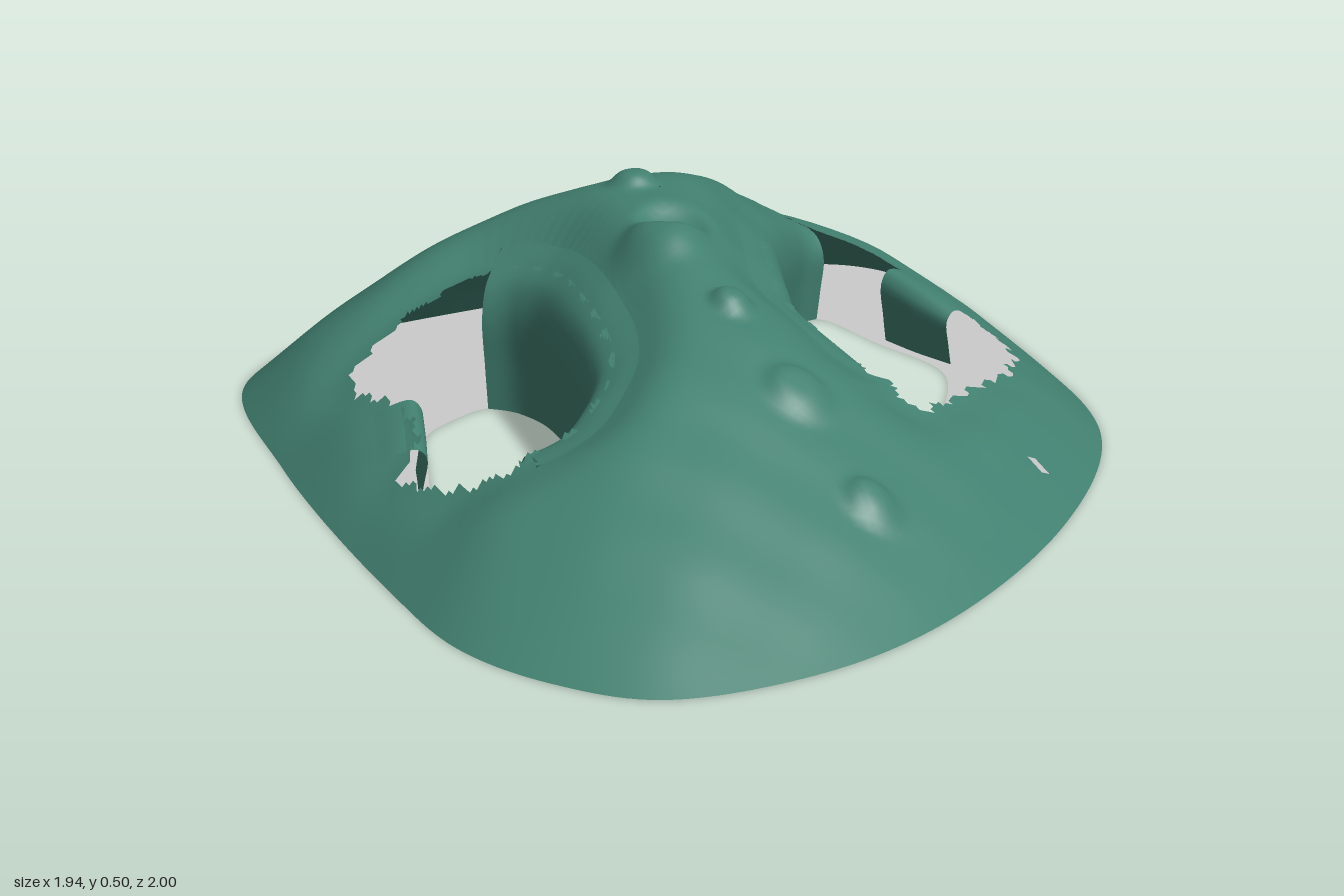
import * as THREE from 'three';

const V = (x, z) => new THREE.Vector2(x, z);
const cross = (a, b) => a.x * b.y - a.y * b.x;
const smoothLoop = (list, n) => {
  const curve = new THREE.CatmullRomCurve3(list.map((p) => new THREE.Vector3(p.x, 0, p.y)), true);
  return curve.getSpacedPoints(n).slice(0, n).map((p) => V(p.x, p.z));
};

// Ground outline, in (x, z), and the summit the slopes run down from
const SUMMIT = V(-0.22, -0.1);
const STEPS = 280, RINGS = 90;
const outline = smoothLoop([
  V(-0.31, -1), V(-0.5, -0.96), V(-0.68, -0.73), V(-0.79, -0.42), V(-0.93, 0.05), V(-0.97, 0.26),
  V(-0.87, 0.53), V(-0.45, 0.74), V(0.16, 0.94), V(0.43, 0.995), V(0.64, 0.96), V(0.82, 0.86),
  V(0.94, 0.6), V(0.96, 0.29), V(0.83, -0.21), V(0.58, -0.62), V(0.24, -0.82),
], STEPS);

// Evenly spaced points on a curve with the direction away from the opening
function edgeWithNormals(list, centre, n) {
  const curve = new THREE.SplineCurve(list);
  return Array.from({ length: n + 1 }, (_, i) => {
    const p = curve.getPointAt(i / n), t = curve.getTangentAt(i / n);
    const out = V(t.y, -t.x);
    if (out.dot(p.clone().sub(centre)) < 0) out.negate();
    return { p, out };
  });
}

// An opening: overhanging lip, torn edge of the shell, far side of the floor hole, leftover wall scrap
function opening(name, centre, lip, torn, floorSide, scrap) {
  const around = (d, rest, n) => {
    const edge = edgeWithNormals(lip, centre, 9).map(({ p, out }) => p.addScaledVector(out, d));
    return smoothLoop([...edge, ...rest], n);
  };
  return { name, centre, lip, scrap, cut: around(0.05, torn, 100), floorHole: around(0.02, floorSide, 80) };
}
const frontOpening = opening('front', V(-0.13, 0.44),
  [V(-0.4, 0.245), V(-0.33, 0.215), V(-0.2, 0.235), V(0.08, 0.37), V(0.175, 0.52), V(0.15, 0.61)],
  [V(0.14, 0.71), V(0.05, 0.735), V(-0.08, 0.73), V(-0.12, 0.65), V(-0.27, 0.58), V(-0.48, 0.54), V(-0.51, 0.4), V(-0.48, 0.29)],
  [V(0.05, 0.655), V(-0.02, 0.67), V(-0.1, 0.63), V(-0.25, 0.52), V(-0.38, 0.42), V(-0.41, 0.32)],
  [V(-0.1, 0.64), V(-0.18, 0.58), V(-0.25, 0.53)]);
const backOpening = opening('back', V(0.1, -0.4),
  [V(-0.28, -0.66), V(-0.27, -0.58), V(-0.1, -0.35), V(0.1, -0.185), V(0.2, -0.13), V(0.38, -0.125)],
  [V(0.46, -0.11), V(0.52, -0.1), V(0.48, -0.33), V(0.38, -0.57), V(0.18, -0.71), V(-0.05, -0.71), V(-0.1, -0.77), V(-0.27, -0.73)],
  [V(0.4, -0.25), V(0.3, -0.42), V(0.12, -0.63), V(-0.1, -0.65)],
  [V(0.1, -0.66), V(0, -0.655), V(-0.1, -0.66)]);
const OPENINGS = [frontOpening, backOpening];

function inside(poly, x, z) {
  let hit = false;
  for (let i = 0, j = poly.length - 1; i < poly.length; j = i++) {
    const a = poly[i], b = poly[j];
    if ((a.y > z) !== (b.y > z) && x < ((b.x - a.x) * (z - a.y)) / (b.y - a.y) + a.x) hit = !hit;
  }
  return hit;
}

// Share of the way from summit to outline
function slopeShare(x, z) {
  const d = V(x, z).sub(SUMMIT);
  for (let i = 0; i < STEPS; i++) {
    const a = outline[i].clone().sub(SUMMIT), b = outline[(i + 1) % STEPS].clone().sub(SUMMIT);
    if (cross(a, d) * cross(d, b) >= 0 && a.dot(d) > 0) return cross(d, b.clone().sub(a)) / cross(a, b);
  }
  return 0;
}

// Slope from summit to ground
const slope = new THREE.SplineCurve([V(0, 0.475), V(0.2, 0.455), V(0.45, 0.365), V(0.63, 0.265), V(0.82, 0.14), V(1, 0)]).getPoints(120);
function slopeHeight(s) {
  const i = slope.findIndex((p) => p.x >= s);
  if (i < 0) return 0;
  if (i === 0) return slope[0].y;
  const a = slope[i - 1], b = slope[i];
  return a.y + ((b.y - a.y) * (s - a.x)) / (b.x - a.x);
}

// Knobs along the ridge; the last two make a swelling beside a crescent hollow
const knob = (x, z, radius, rise = 0.028) => ({ x, z, radius, rise });
const KNOBS = [
  knob(-0.72, -0.24, 0.05), knob(-0.53, -0.15, 0.045), knob(-0.28, -0.08, 0.05),
  knob(0.23, 0.12, 0.042), knob(0.48, 0.18, 0.065), knob(0.73, 0.23, 0.05),
  knob(-0.03, 0.07, 0.09), knob(-0.08, -0.01, 0.07, -0.035),
];

function height(x, z, s = slopeShare(x, z)) {
  let h = slopeHeight(s);
  // Sink toward the openings
  for (const o of OPENINGS) {
    let d = Infinity;
    for (const p of o.cut) d = Math.min(d, Math.hypot(p.x - x, p.y - z));
    if (inside(o.cut, x, z)) d = 0;
    h *= 1 - 0.2 * Math.exp(-((d / 0.1) ** 2));
  }
  for (const k of KNOBS) {
    const q = ((x - k.x) ** 2 + (z - k.z) ** 2) / k.radius ** 2;
    h += k.rise * Math.exp(-q * q * 1.3);
  }
  // Slight unevenness, fading out at the ground
  h += 0.003 * Math.sin(19 * x + 7 * z) * Math.sin(23 * z - 5 * x) * Math.min(1, (1 - s) * 6);
  return Math.max(0, h);
}

// Surface through rows of points, leaving out any triangle that keep() rejects
function surface(rows, closed, keep = () => true) {
  const n = rows[0].length, pos = rows.flat(), index = [];
  const add = (a, b, c) => {
    const x = (pos[a].x + pos[b].x + pos[c].x) / 3, z = (pos[a].z + pos[b].z + pos[c].z) / 3;
    if (keep(x, z)) index.push(a, b, c);
  };
  for (let i = 0; i < rows.length - 1; i++) {
    for (let j = 0; j < (closed ? n : n - 1); j++) {
      const a = i * n + j, b = i * n + ((j + 1) % n);
      add(a, a + n, b + n);
      add(a, b + n, b);
    }
  }
  const g = new THREE.BufferGeometry().setFromPoints(pos);
  g.setIndex(index);
  g.computeVertexNormals();
  return g;
}

// Mound skin with torn openings and one pinhole
function shellGeometry() {
  const rows = Array.from({ length: RINGS + 1 }, (_, i) => {
    const s = Math.max(0.002, i / RINGS);
    return outline.map((p) => {
      const q = SUMMIT.clone().lerp(p, s);
      return new THREE.Vector3(q.x, height(q.x, q.y, s), q.y);
    });
  });
  return surface(rows, true, (x, z) => {
    if (Math.hypot(x - 0.7, z + 0.28) < 0.016) return false;
    const jx = x + 0.01 * Math.sin(83 * z + 31 * x), jz = z + 0.01 * Math.sin(97 * x - 20 * z);
    return !OPENINGS.some((o) => inside(o.cut, jx, jz));
  });
}

// Rolled lip that turns from the slope into a wall down to the floor
function lipGeometry(list, centre, n) {
  const rows = edgeWithNormals(list, centre, n).map(({ p, out }) => {
    const at = (d, share, lift = 0) => {
      const q = p.clone().addScaledVector(out, d);
      return new THREE.Vector3(q.x, height(q.x, q.y) * share + lift, q.y);
    };
    return new THREE.CatmullRomCurve3([
      at(0.1, 1, 0.001), at(0.06, 1, 0.003), at(0.02, 0.93), at(0, 0.72), at(0.008, 0.35), at(0.018, 0),
    ]).getPoints(20);
  });
  return surface(rows, false);
}

export function createModel() {
  const model = new THREE.Group();
  model.name = 'hollowMound';
  const green = new THREE.MeshStandardMaterial({ color: 0x428070, side: THREE.DoubleSide });
  green.name = 'sea green';
  const grey = new THREE.MeshStandardMaterial({ color: 0xcccccc, side: THREE.DoubleSide });
  grey.name = 'light grey';
  const add = (name, geometry, material) => {
    const mesh = new THREE.Mesh(geometry, material);
    mesh.name = name;
    model.add(mesh);
  };

  add('shell', shellGeometry(), green);
  for (const o of OPENINGS) {
    add(o.name + 'Lip', lipGeometry(o.lip, o.centre, 60), green);
    add(o.name + 'WallScrap', lipGeometry(o.scrap, o.centre, 16), green);
  }

  // Flat floor with the two openings cut through
  const floor = new THREE.Shape(outline);
  for (const o of OPENINGS) floor.holes.push(new THREE.Path(o.floorHole));
  add('floor', new THREE.ShapeGeometry(floor).rotateX(Math.PI / 2), grey);
  return model;
}
